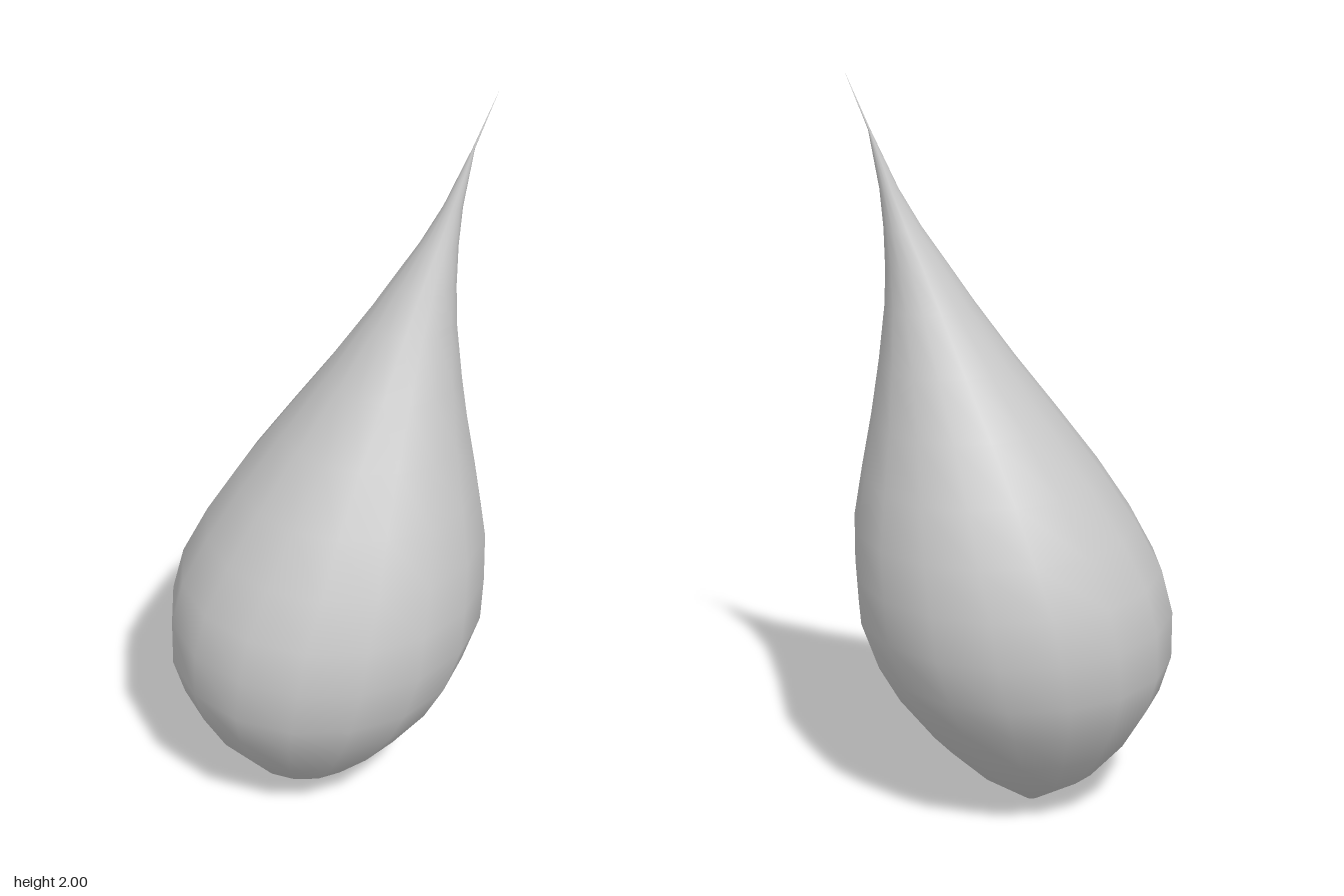
import * as THREE from 'three';
import { mergeVertices } from 'three/addons/utils/BufferGeometryUtils.js';

// Horizontal rings from base to tip: [height, centre x, radius]
const RINGS = [
  [0, -0.055, 0], [0.003, -0.055, 0.02], [0.1, -0.065, 0.165], [0.21, -0.055, 0.268],
  [0.33, -0.043, 0.348], [0.43, -0.03, 0.39], [0.56, -0.007, 0.412], [0.68, 0.012, 0.4],
  [0.81, 0.046, 0.366], [0.95, 0.08, 0.31], [1.1, 0.122, 0.242], [1.25, 0.168, 0.175],
  [1.4, 0.213, 0.114], [1.5, 0.245, 0.08], [1.6, 0.28, 0.048], [1.7, 0.313, 0.024],
  [1.85, 0.36, 0.003], [2, 0.42, 0],
];
const SIDES = 16;

export function createModel() {
  const group = new THREE.Group();
  group.name = 'teardrop';

  // Turn the profile, then slide each ring sideways so the drop leans to its tip
  const profile = RINGS.map(([y, , r]) => new THREE.Vector2(r, y));
  let geometry = new THREE.LatheGeometry(profile, SIDES);
  const pos = geometry.attributes.position;
  for (let i = 0; i < pos.count; i++) {
    pos.setX(i, pos.getX(i) + RINGS[i % RINGS.length][1]);
  }

  // Weld the seam and poles for smooth shading all round
  geometry.deleteAttribute('uv');
  geometry.deleteAttribute('normal');
  geometry = mergeVertices(geometry, 1e-5);
  geometry.computeVertexNormals();

  const body = new THREE.Mesh(geometry, new THREE.MeshStandardMaterial({ color: 0xcccccc }));
  body.name = 'dropBody';
  group.add(body);
  return group;
}
